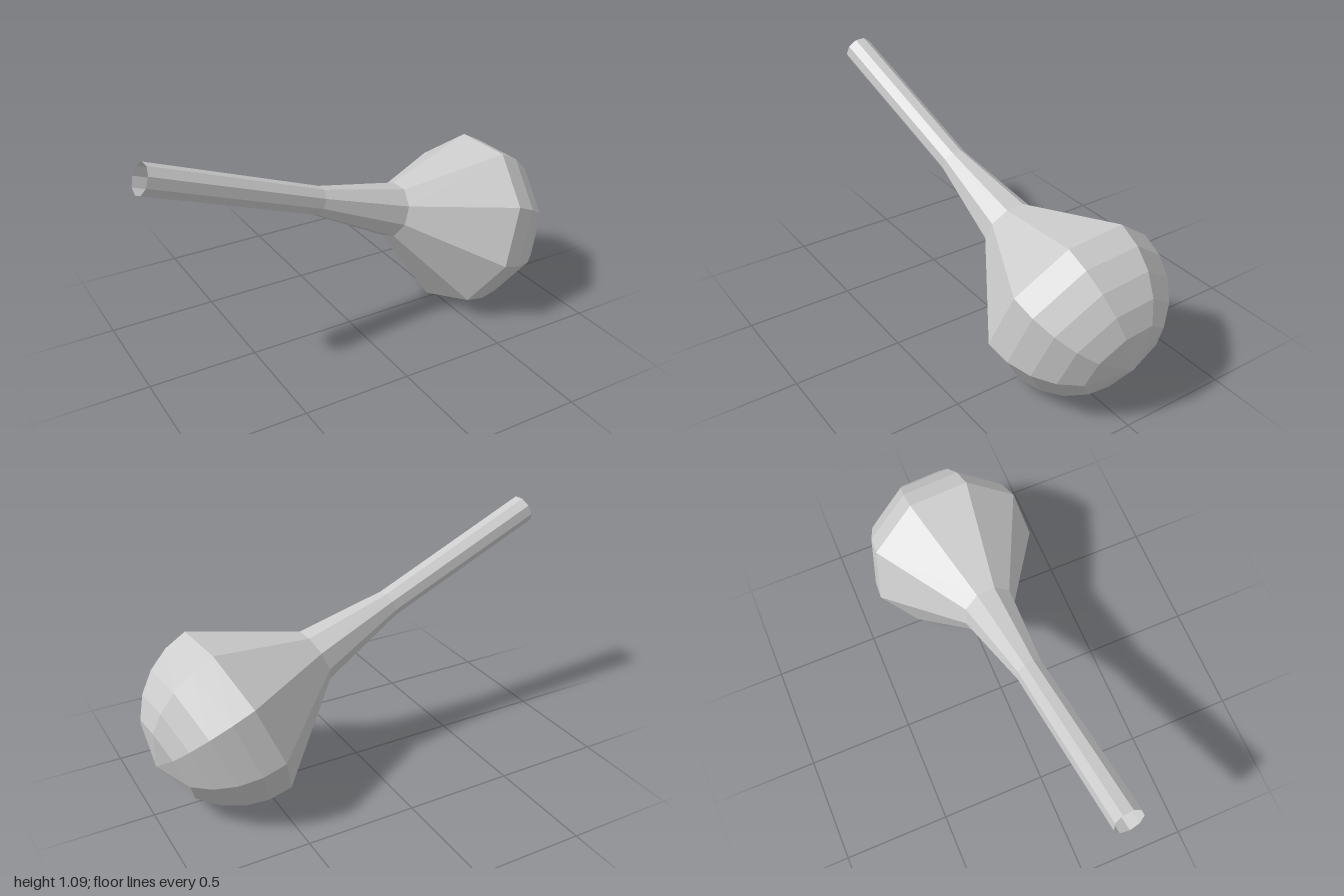
import * as THREE from 'three';

const SIDES = 9;
const R = 0.41; // bulb radius

export function createModel() {
  const model = new THREE.Group();
  const material = new THREE.MeshStandardMaterial({
    color: 0xcccccc, flatShading: true, side: THREE.DoubleSide,
  });

  // Nine-sided turned part along local +x, one corner pointing straight down
  const turned = (name, profile) => {
    const points = profile.map(([r, t]) => new THREE.Vector2(r, t));
    const geometry = new THREE.LatheGeometry(points, SIDES, Math.PI / 2);
    geometry.rotateZ(-Math.PI / 2);
    const mesh = new THREE.Mesh(geometry, material);
    mesh.name = name;
    return mesh;
  };

  // Hollow stem, open at its tip, flaring into the neck
  const stem = turned('stem', [[0.067, -1.69], [0.065, -0.85], [0.126, -0.425]]);

  // Cone from the neck out to the widest ring
  const shoulder = turned('shoulder', [[0.126, -0.425], [R, 0]]);

  // Rounded end: rings every 15 degrees, closed by a flat fan to the pole
  const dome = turned('dome', [0, 15, 30, 45, 60, 90].map((deg) => {
    const a = THREE.MathUtils.degToRad(deg);
    return [deg === 90 ? 0 : R * Math.cos(a), R * Math.sin(a)];
  }));

  // Tilt the whole body, stem pointing up to the model's right
  const body = new THREE.Group();
  body.name = 'body';
  body.add(stem, shoulder, dome);
  body.rotation.set(0, 0.063, -0.376, 'ZYX');
  body.position.set(0.594, 0.41, 0.003);
  model.add(body);
  return model;
}
